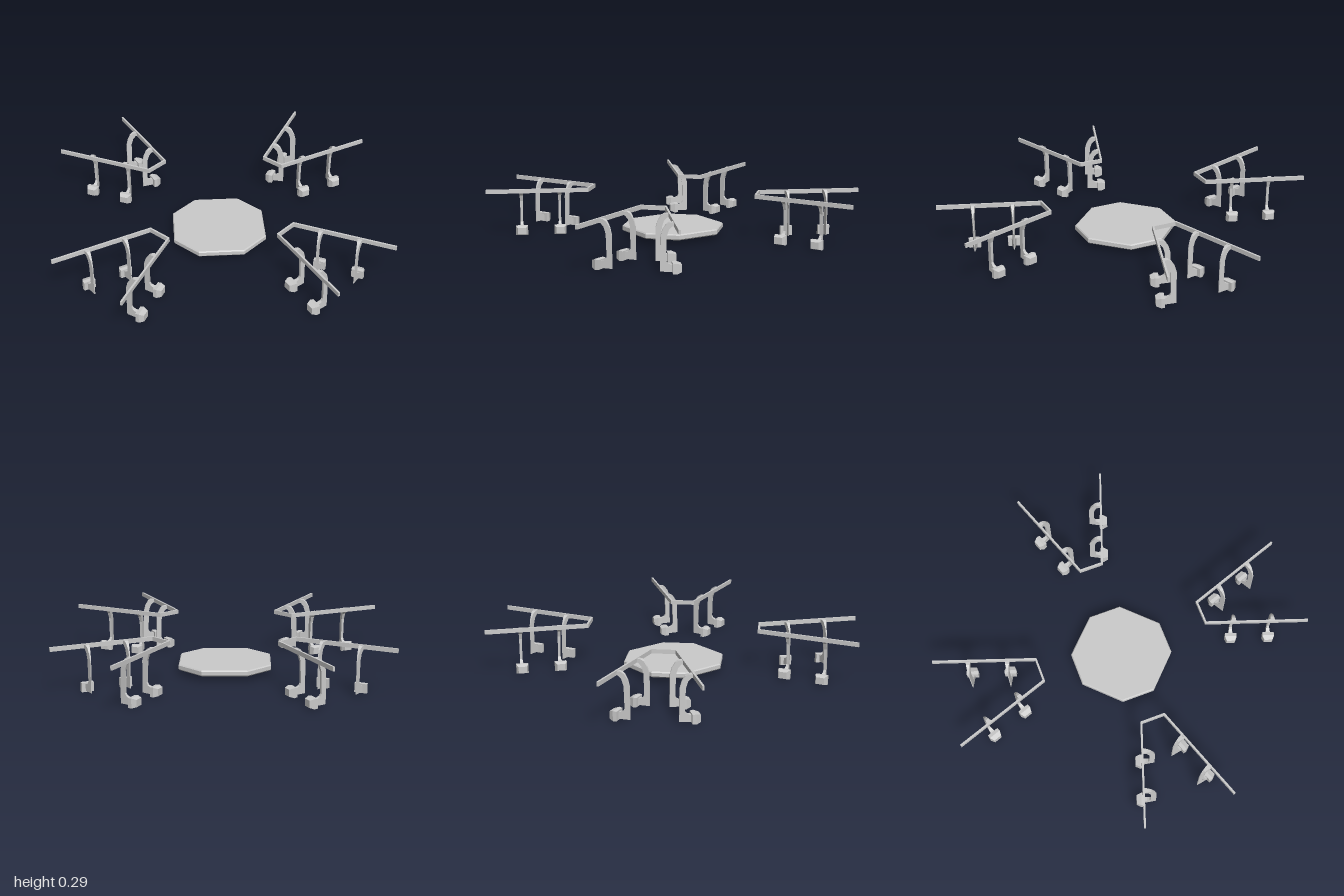
import * as THREE from 'three';

const material = new THREE.MeshStandardMaterial({ color: 0xcccccc, flatShading: true });

function mesh(name, geometry) {
  const m = new THREE.Mesh(geometry, material);
  m.name = name;
  return m;
}

const toShape = (pts) => new THREE.Shape(pts.map(([a, b]) => new THREE.Vector2(a, b)));

// Octagonal slab with chamfered rims
function createPlatform() {
  const a = 0.279, b = 0.137;
  const geo = new THREE.ExtrudeGeometry(
    toShape([[a, -b], [a, b], [b, a], [-b, a], [-a, b], [-a, -b], [-b, -a], [b, -a]]),
    { depth: 0.023, bevelSize: 0.006, bevelThickness: 0.007, bevelSegments: 1 });
  geo.rotateX(Math.PI / 2);
  geo.translate(0, 0.062, 0);
  return mesh('platform', geo);
}

// Thin mitred strip that follows an open path in plan
function createRail(path, halfWidth, bottom, top) {
  const pts = path.map(([x, z]) => new THREE.Vector2(x, z));
  const normal = (p, q) => {
    const d = q.clone().sub(p).normalize();
    return new THREE.Vector2(-d.y, d.x);
  };
  const left = [], right = [];
  pts.forEach((p, i) => {
    const n1 = normal(pts[Math.max(i - 1, 0)], pts[Math.max(i, 1)]);
    const last = pts.length - 1;
    const n2 = normal(pts[Math.min(i, last - 1)], pts[Math.min(i + 1, last)]);
    const m = n1.clone().add(n2).normalize();
    m.multiplyScalar(halfWidth / m.dot(n1));
    left.push(p.clone().add(m));
    right.unshift(p.clone().sub(m));
  });
  const geo = new THREE.ExtrudeGeometry(new THREE.Shape([...left, ...right]),
    { depth: top - bottom, bevelEnabled: false });
  geo.rotateX(Math.PI / 2);
  geo.translate(0, top, 0);
  return mesh('rail', geo);
}

// Curved upright with a base, thinning to a blade along its outer edge
function createUpright() {
  const geo = new THREE.ExtrudeGeometry(toShape([
    [0, 0.265], [0.014, 0.263], [0.032, 0.243], [0.044, 0.205], [0.048, 0.075],
    [0.04, 0.06], [0.025, 0.052], [0, 0.047], [0, 0.01], [0.08, 0.01],
    [0.078, 0.205], [0.066, 0.245], [0.046, 0.275], [0.028, 0.286], [0, 0.286],
  ]), { depth: 1, bevelEnabled: false });
  const p = geo.attributes.position;
  for (let i = 0; i < p.count; i++) {
    const width = THREE.MathUtils.lerp(0.032, 0.005, p.getX(i) / 0.08);
    p.setZ(i, (p.getZ(i) - 0.5) * width);
  }
  geo.computeVertexNormals();
  return mesh('upright', geo);
}

// Foot block, narrowing towards its far end
function createFoot() {
  const sections = [[-0.038, 0.026, 0.021], [-0.01, 0.038, 0.03], [0.012, 0.036, 0.028]];
  const geo = new THREE.BoxGeometry(2, 2, 2, 2, 1, 1);
  const p = geo.attributes.position;
  for (let i = 0; i < p.count; i++) {
    const [u, halfWidth, halfHeight] = sections[Math.round(p.getX(i)) + 1];
    p.setXYZ(i, u, 0.03 + p.getY(i) * halfHeight, p.getZ(i) * halfWidth);
  }
  geo.computeVertexNormals();
  return mesh('foot', geo);
}

// Bracket placed on the rail, its local +x pointing along (dx, dz)
function createBracket(x, z, dx, dz) {
  const g = new THREE.Group();
  g.name = 'bracket';
  g.add(createUpright(), createFoot());
  g.position.set(x, 0, z);
  g.rotation.y = Math.atan2(-dz, dx);
  return g;
}

// Folded barrier: rail with two brackets on each arm
function createBarrier() {
  const g = new THREE.Group();
  g.name = 'barrier';
  g.add(createRail([[0.598, 0.997], [0.323, 0.427], [0.427, 0.323], [0.997, 0.598]], 0.006, 0.264, 0.29));
  for (const [far, near] of [[0.8, 0.503], [0.585, 0.399]]) {
    g.add(createBracket(far, near, -0.43, 0.9));
    g.add(createBracket(near, far, 0.9, -0.43));
  }
  return g;
}

export function createModel() {
  const model = new THREE.Group();
  model.name = 'platformWithBarriers';
  model.add(createPlatform());
  for (let i = 0; i < 4; i++) {
    const barrier = createBarrier();
    barrier.rotation.y = i * Math.PI / 2;
    model.add(barrier);
  }
  return model;
}
